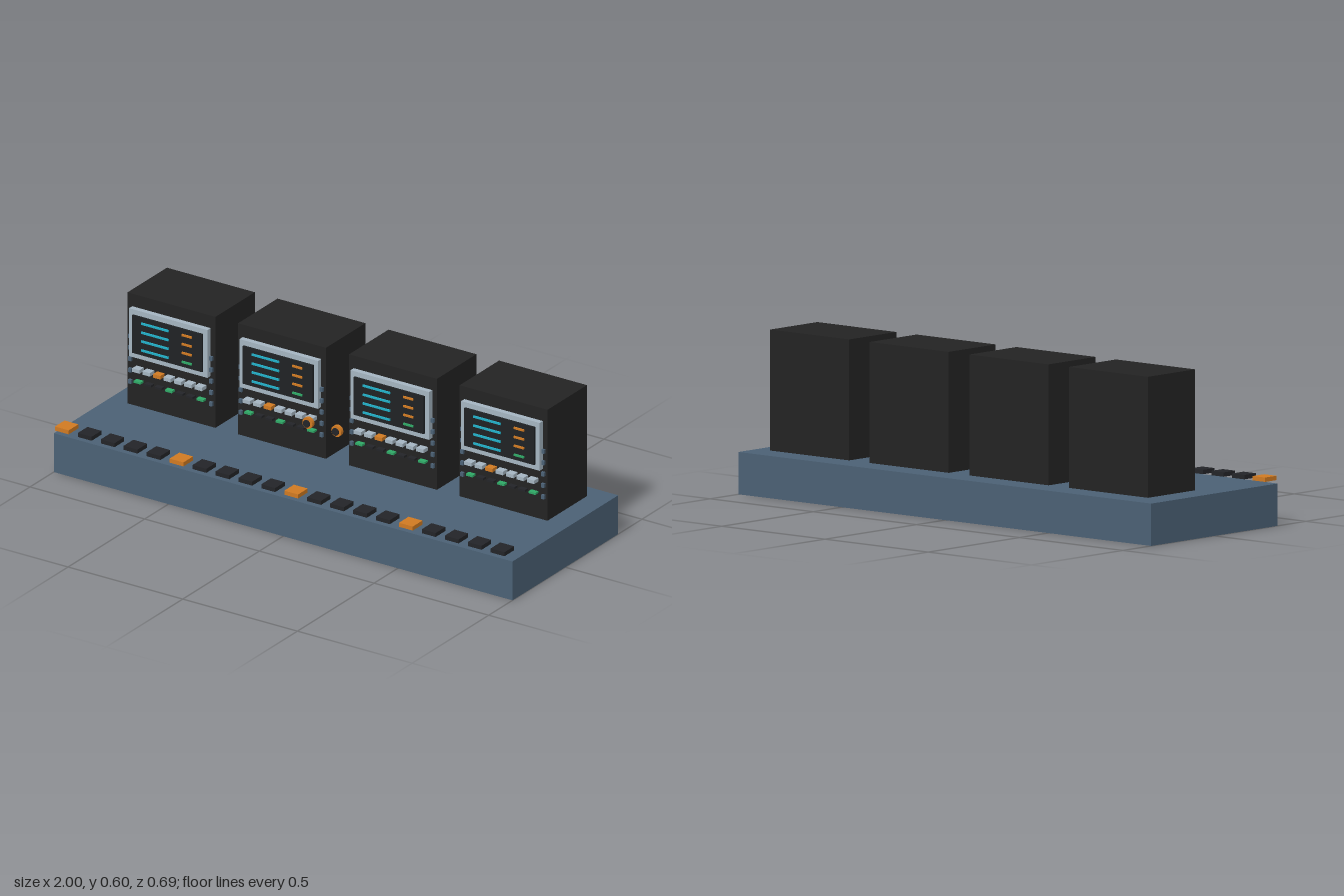
import * as THREE from 'three';

const mat = (name, color) => Object.assign(new THREE.MeshStandardMaterial({ color }), { name });

export function createModel() {
  const slate = mat('slate blue', 0x4b6175);
  const black = mat('charcoal', 0x232323);
  const keyBlack = mat('key black', 0x232428);
  const steel = mat('light steel', 0xa5b5c1);
  const glass = mat('screen black', 0x1f2224);
  const cyan = mat('cyan', 0x22b0c8);
  const orange = mat('orange', 0xd07a22);
  const green = mat('green', 0x2fa866);

  const model = new THREE.Group();
  model.name = 'controlDesk';

  // Box given by centre x, width, and its y and z ranges
  const box = (parent, name, material, x, w, y0, y1, z0, z1) => {
    const m = new THREE.Mesh(new THREE.BoxGeometry(w, y1 - y0, z1 - z0), material);
    m.position.set(x, (y0 + y1) / 2, (z0 + z1) / 2);
    m.name = name;
    parent.add(m);
  };

  // Platform
  box(model, 'platform', slate, 0, 2, 0, 0.155, -0.345, 0.345);

  // Row of keys along the front edge
  for (let i = 0; i < 20; i++) {
    box(model, 'edgeKey', i % 5 === 0 ? orange : keyBlack, -0.965 + i * 0.1, 0.06, 0.167, 0.183, 0.282, 0.345);
  }

  // Console cabinets
  [-0.724, -0.242, 0.242, 0.724].forEach((cx) => {
    const c = new THREE.Group();
    c.name = 'console';
    c.position.x = cx;
    model.add(c);
    box(c, 'cabinet', black, 0, 0.383, 0.16, 0.603, -0.267, -0.01);
    box(c, 'screenBezel', steel, 0, 0.342, 0.362, 0.553, -0.01, 0.011);
    box(c, 'screen', glass, 0, 0.305, 0.383, 0.533, 0.011, 0.019);

    // Readout lines
    [0.511, 0.475, 0.44, 0.404].forEach((y, row) => {
      box(c, 'readoutLine', cyan, -0.051, 0.118, y - 0.004, y + 0.004, 0.019, 0.024);
      box(c, 'statusBar', row === 3 ? green : orange, 0.088, 0.043, y - 0.004, y + 0.004, 0.019, 0.024);
    });

    // Two rows of buttons
    for (let i = 0; i < 7; i++) {
      const x = (i - 3) * 0.0455;
      box(c, 'button', i === 2 ? orange : steel, x, 0.032, 0.307, 0.321, -0.01, 0.019);
      box(c, 'indicator', i % 3 === 0 ? green : keyBlack, x, 0.03, 0.26, 0.268, -0.01, 0.01);
    }

    // Small side tabs
    for (const s of [-1, 1]) {
      for (let i = 0; i < 5; i++) {
        const y = 0.254 + i * 0.0453;
        box(c, 'sideTab', slate, s * 0.176, 0.013, y - 0.008, y + 0.008, -0.01, 0);
      }
    }
  });

  // Pair of floating dials
  const disc = (name, material, x, r, z0, z1) => {
    const m = new THREE.Mesh(new THREE.CylinderGeometry(r, r, z1 - z0, 20).rotateX(Math.PI / 2), material);
    m.position.set(x, 0.338, (z0 + z1) / 2);
    m.name = name;
    model.add(m);
  };
  for (const x of [-0.063, 0.063]) {
    disc('dial', orange, x, 0.022, 0.079, 0.093);
    disc('dialCap', keyBlack, x, 0.0145, 0.096, 0.101);
  }

  return model;
}
